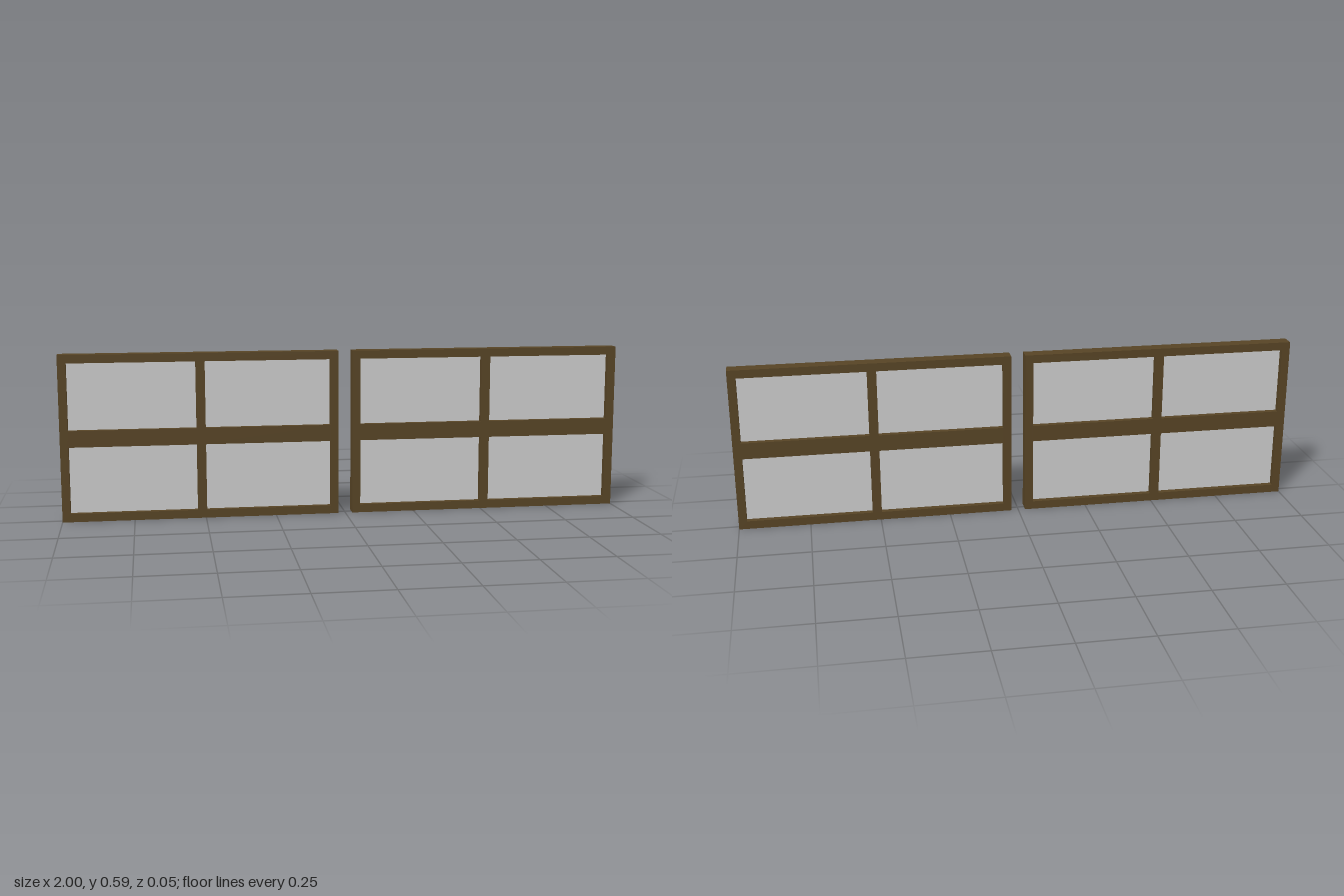
import * as THREE from 'three';

const HEIGHT = 0.587, DEPTH = 0.048;
const INNER = 0.025, OUTER = 1; // x range of one window
const RIM = 0.029, MULLION = 0.032, RAIL = 0.058;

const wood = new THREE.MeshStandardMaterial({ color: 0x574425 });
wood.name = 'dark wood';
const glass = new THREE.MeshStandardMaterial({ color: 0xcbcbcb });
glass.name = 'pale grey glass';

// Closed rectangle used for the outline and the openings
function rect(path, x0, y0, x1, y1) {
  path.moveTo(x0, y0);
  path.lineTo(x1, y0);
  path.lineTo(x1, y1);
  path.lineTo(x0, y1);
  path.closePath();
  return path;
}

function createWindow(name, centreX) {
  const group = new THREE.Group();
  group.name = name;
  group.position.x = centreX;
  const w = (OUTER - INNER) / 2;
  const midY = HEIGHT / 2;
  const columns = [[-w + RIM, -MULLION / 2], [MULLION / 2, w - RIM]];
  const rows = [[RIM, midY - RAIL / 2], [midY + RAIL / 2, HEIGHT - RIM]];

  const outline = rect(new THREE.Shape(), -w, 0, w, HEIGHT);
  for (const [x0, x1] of columns) {
    for (const [y0, y1] of rows) {
      outline.holes.push(rect(new THREE.Path(), x0, y0, x1, y1));

      // Thin pane in the middle of the frame's depth
      const pane = new THREE.Mesh(new THREE.BoxGeometry(x1 - x0, y1 - y0, 0.008), glass);
      pane.name = 'pane';
      pane.position.set((x0 + x1) / 2, (y0 + y1) / 2, 0);
      group.add(pane);
    }
  }

  // Frame with four openings
  const geometry = new THREE.ExtrudeGeometry(outline, { depth: DEPTH, bevelEnabled: false });
  geometry.translate(0, 0, -DEPTH / 2);
  const frame = new THREE.Mesh(geometry, wood);
  frame.name = 'frame';
  group.add(frame);
  return group;
}

export function createModel() {
  const model = new THREE.Group();
  model.name = 'windowPair';
  const offset = (INNER + OUTER) / 2;
  model.add(createWindow('leftWindow', offset), createWindow('rightWindow', -offset));
  return model;
}
